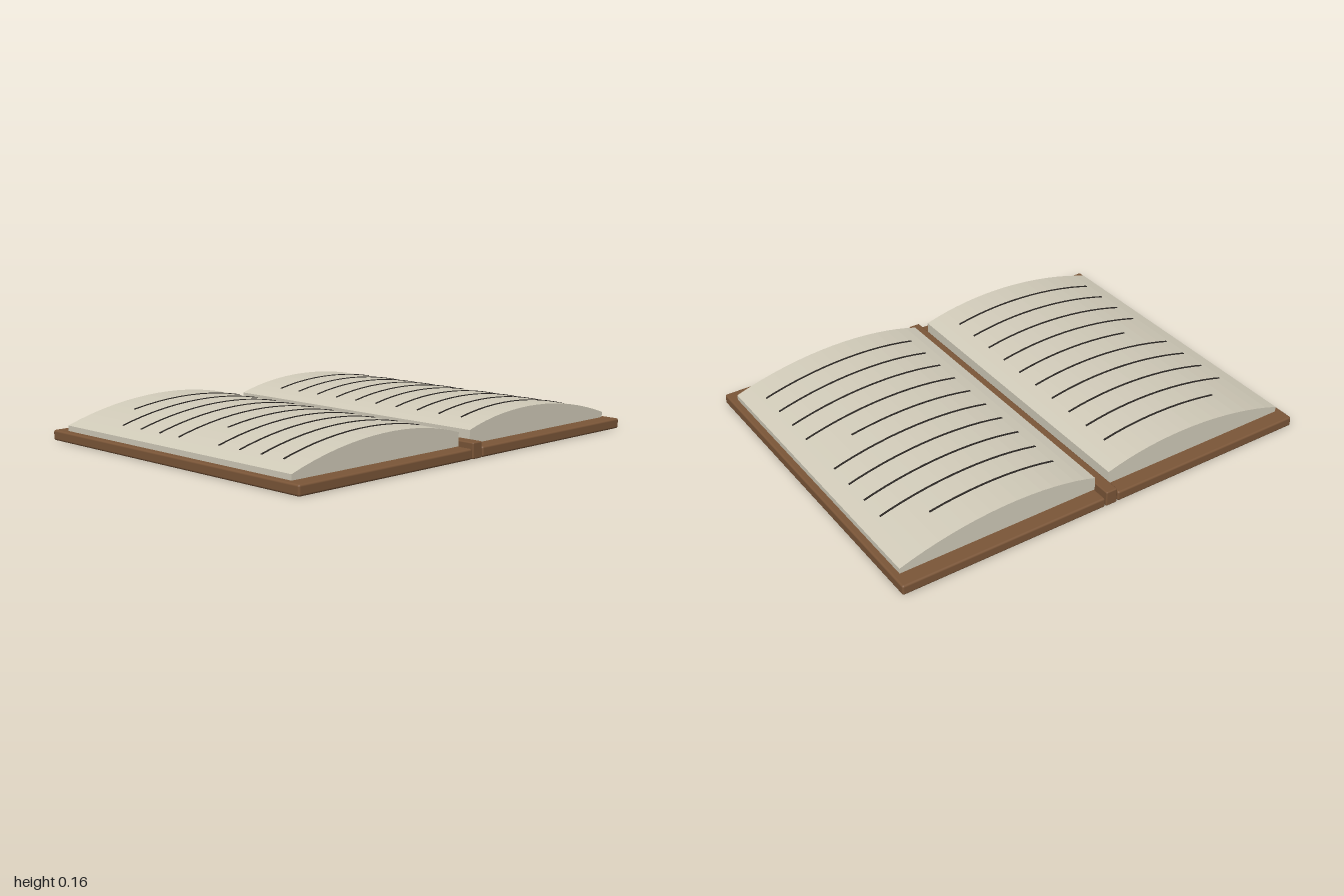
import * as THREE from 'three';
import { RoundedBoxGeometry } from 'three/addons/geometries/RoundedBoxGeometry.js';

const mat = (name, color) => {
  const m = new THREE.MeshStandardMaterial({ color });
  m.name = name;
  return m;
};

// Arched top of a page block, from the gutter to the outer edge
const arch = new THREE.CubicBezierCurve(
  new THREE.Vector2(0.035, 0.105), new THREE.Vector2(0.3, 0.188),
  new THREE.Vector2(0.65, 0.18), new THREE.Vector2(0.97, 0.07)
).getPoints(16);

// Height of the faceted arch at x
function archHeight(x) {
  const i = Math.max(1, arch.findIndex((p) => p.x >= x));
  const a = arch[i - 1], b = arch[i];
  return THREE.MathUtils.lerp(a.y, b.y, (x - a.x) / (b.x - a.x));
}

// Outline in x, y extruded along z around the given centre
function slab(points, side, depth, z) {
  const shape = new THREE.Shape(points.map(([x, y]) => new THREE.Vector2(x * side, y)));
  return new THREE.ExtrudeGeometry(shape, { depth, bevelEnabled: false })
    .translate(0, 0, z - depth / 2);
}

export function createModel() {
  const model = new THREE.Group();
  model.name = 'openBook';
  const leather = mat('brown leather', 0x7b5638);
  const paper = mat('aged paper', 0xd2ccba);
  const ink = mat('dark ink', 0x2c2825);

  const add = (name, geometry, material, parent = model) => {
    const mesh = new THREE.Mesh(geometry, material);
    mesh.name = name;
    parent.add(mesh);
    return mesh;
  };

  // Spine
  add('spine', new RoundedBoxGeometry(0.056, 0.07, 1.57, 2, 0.006), leather)
    .position.y = 0.035;

  for (const side of [-1, 1]) {
    const label = side > 0 ? 'left' : 'right';

    // Cover board
    add(label + 'Cover', new RoundedBoxGeometry(0.967, 0.046, 1.57, 2, 0.009), leather)
      .position.set(side * 0.5165, 0.023, 0);

    // Page block
    const block = [[0.035, 0.045], ...arch.map((p) => [p.x, p.y]), [0.97, 0.045]];
    add(label + 'Pages', slab(block, side, 1.425, 0), paper);

    // Written lines that follow the arch, every fifth one short
    const lines = new THREE.Group();
    lines.name = label + 'WrittenLines';
    model.add(lines);
    for (let i = 0; i < 10; i++) {
      const start = 0.133, end = i % 5 === 0 ? 0.733 : 0.888;
      const xs = [start, ...arch.map((p) => p.x).filter((x) => x > start && x < end), end];
      const top = xs.map((x) => [x, archHeight(x) + 0.003]);
      const bottom = xs.map((x) => [x, archHeight(x) - 0.002]).reverse();
      add('writtenLine', slab([...top, ...bottom], side, 0.008, -0.55 + i * 0.1257), ink, lines);
    }
  }
  return model;
}
